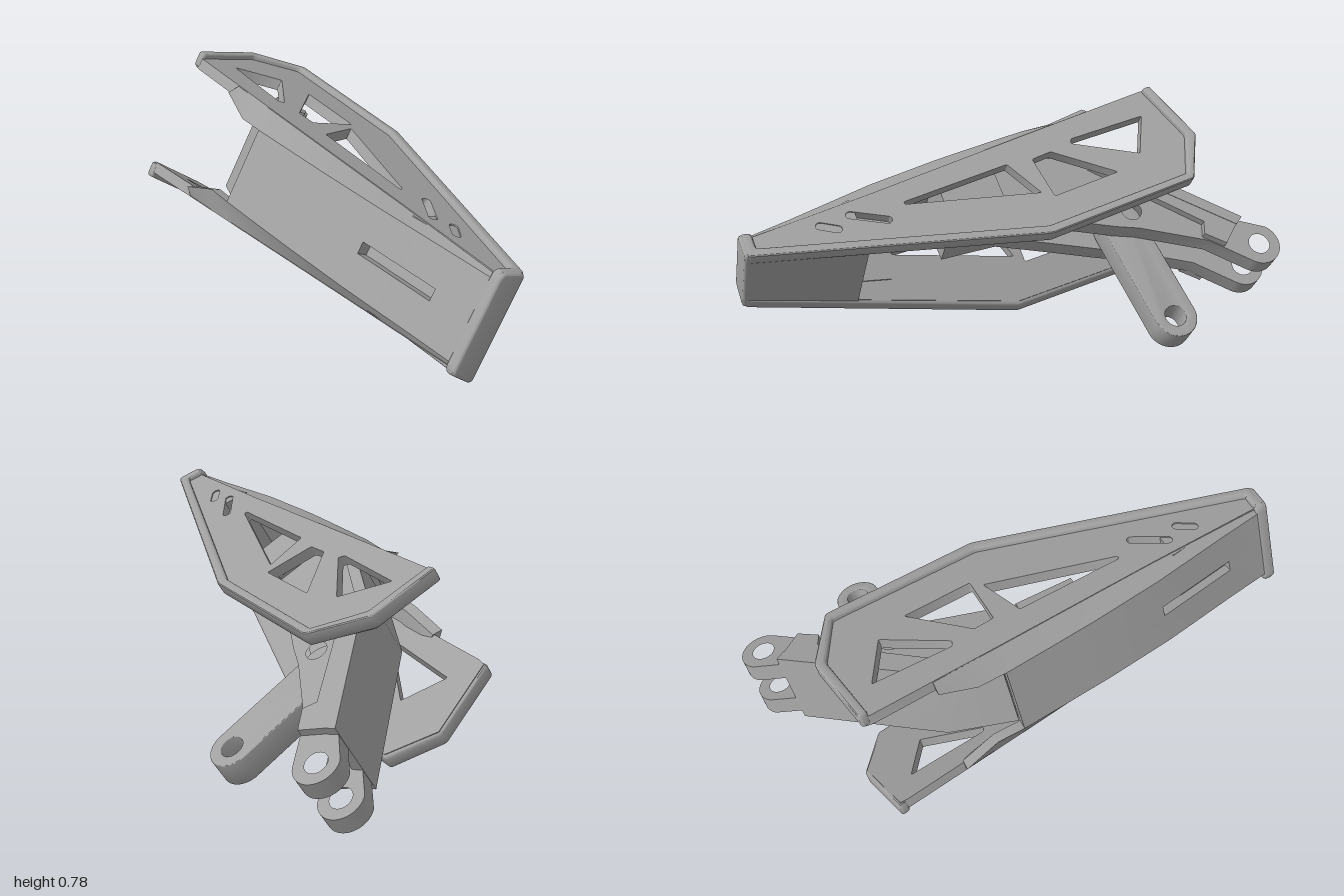
import * as THREE from 'three';
import { toCreasedNormals } from 'three/addons/utils/BufferGeometryUtils.js';

const CENTRE = 0.298; // height of the mirror plane in the tilted frame

// Local frame: x = depth of the shell, y = width (mirrored), z = length.
// Make a closed geometry face outwards and crease its normals.
function finish(geo) {
  const g = geo.index ? geo.toNonIndexed() : geo;
  const p = g.attributes.position;
  const A = new THREE.Vector3(), B = new THREE.Vector3(), C = new THREE.Vector3();
  let volume = 0;
  for (let i = 0; i < p.count; i += 3) {
    A.fromBufferAttribute(p, i); B.fromBufferAttribute(p, i + 1); C.fromBufferAttribute(p, i + 2);
    volume += A.dot(B.cross(C));
  }
  if (volume < 0) {
    for (let i = 0; i < p.count; i += 3) {
      B.fromBufferAttribute(p, i + 1); C.fromBufferAttribute(p, i + 2);
      p.setXYZ(i + 1, C.x, C.y, C.z); p.setXYZ(i + 2, B.x, B.y, B.z);
    }
  }
  g.deleteAttribute('normal');
  g.computeVertexNormals();
  return toCreasedNormals(g, 0.5);
}

// Solid through a row of rings with equal point counts
function loft(rings) {
  const n = rings[0].length, pos = [];
  const tri = (a, b, c) => pos.push(...a, ...b, ...c);
  for (let k = 0; k + 1 < rings.length; k++) {
    for (let i = 0; i < n; i++) {
      const j = (i + 1) % n, r = rings[k], s = rings[k + 1];
      tri(r[i], r[j], s[j]); tri(r[i], s[j], s[i]);
    }
  }
  const first = rings[0], last = rings[rings.length - 1];
  for (let i = 1; i + 1 < n; i++) {
    tri(first[0], first[i + 1], first[i]);
    tri(last[0], last[i], last[i + 1]);
  }
  const g = new THREE.BufferGeometry();
  g.setAttribute('position', new THREE.Float32BufferAttribute(pos, 3));
  return finish(g);
}

// Extrude a shape and send every (shape x, shape y, depth) through a rule
function extrudeBy(shape, depth, rule, bevel = 0) {
  const g = new THREE.ExtrudeGeometry(shape, {
    depth: depth - 2 * bevel, curveSegments: 20, bevelEnabled: bevel > 0, bevelSegments: 3,
    bevelSize: bevel, bevelOffset: -bevel, bevelThickness: bevel,
  });
  const p = g.attributes.position;
  for (let i = 0; i < p.count; i++) p.setXYZ(i, ...rule(p.getX(i), p.getY(i), p.getZ(i) + bevel));
  return finish(g);
}

const polygon = (pts) => new THREE.Shape(pts.map(([x, y]) => new THREE.Vector2(x, y)));
const circle = (x, y, r) => new THREE.Path().absarc(x, y, r, 0, Math.PI * 2, true);

// Polygon with rounded corners
function rounded(pts, r) {
  const v = pts.map(([x, y]) => new THREE.Vector2(x, y)), n = v.length, s = new THREE.Shape();
  const toward = (a, b) => b.clone().sub(a).setLength(r).add(a);
  v.forEach((c, i) => {
    const p = toward(c, v[(i + n - 1) % n]), q = toward(c, v[(i + 1) % n]);
    if (i === 0) s.moveTo(p.x, p.y); else s.lineTo(p.x, p.y);
    s.quadraticCurveTo(c.x, c.y, q.x, q.y);
  });
  s.closePath();
  return s;
}

// Rounded bar between two points
function capsule(x1, y1, r1, x2, y2, r2) {
  const t = Math.atan2(y2 - y1, x2 - x1), q = Math.PI / 2;
  return new THREE.Shape().absarc(x2, y2, r2, t - q, t + q, false)
    .absarc(x1, y1, r1, t + q, t + 3 * q, false);
}

// Linear lookup in a list of [z, value], z descending
function lookup(table, z) {
  for (let i = 0; i + 1 < table.length; i++) {
    const [z0, v0] = table[i], [z1, v1] = table[i + 1];
    if (z >= z1 || i === table.length - 2) return v0 + (v1 - v0) * (z - z0) / (z1 - z0);
  }
}

const plateV = (a, z) => 0.2 + 0.0742 * (1 - z) + 0.187 * (a + 0.3); // splayed side plane
const edgeA = (z) => lookup([[1, -0.37], [0.5, -0.43], [-0.15, -0.52], [-0.66, -0.59]], z);
const spineA = (z) => lookup([[1, -0.38], [0.8, -0.42], [0.48, -0.49], [0.2, -0.535], [0, -0.56], [-0.17, -0.58], [-0.42, -0.59]], z);
const spineHalf = (z) => lookup([[1, 0.152], [-0.28, 0.147], [-0.42, 0.2]], z);

export function createModel() {
  const grey = new THREE.MeshStandardMaterial({ color: 0xa0a0a0 });
  grey.name = 'metal grey';
  const body = new THREE.Group();
  body.name = 'body';
  body.position.y = CENTRE;
  const add = (name, geo) => {
    const m = new THREE.Mesh(geo, grey);
    m.name = name;
    body.add(m);
  };

  // Side plates with cutouts, blind slots and a raised rim
  const plate = polygon([[-0.37, 0.98], [-0.29, 0.98], [-0.06, -0.05], [-0.125, -0.64], [-0.31, -0.75],
    [-0.585, -0.69], [-0.588, -0.66], [-0.52, -0.15], [-0.43, 0.5]]);
  const cutouts = [
    [[-0.469, -0.61], [-0.299, -0.52], [-0.425, -0.29], [-0.446, -0.3]],
    [[-0.411, -0.2], [-0.242, -0.4], [-0.21, -0.13], [-0.398, -0.12]],
    [[-0.404, -0.02], [-0.24, -0.09], [-0.345, 0.4], [-0.357, 0.4]],
  ];
  for (const c of cutouts) plate.holes.push(rounded(c, 0.008));
  for (const [x1, y1, x2, y2] of [[-0.298, 0.48, -0.36, 0.6], [-0.314, 0.66, -0.346, 0.715]]) {
    plate.holes.push(capsule(x1, y1, 0.016, x2, y2, 0.016));
  }
  const rim = rounded([[-0.39, 0.99], [-0.285, 0.99], [-0.046, -0.05], [-0.115, -0.65], [-0.312, -0.76], [-0.595, -0.7],
    [-0.588, -0.665], [-0.322, -0.72], [-0.148, -0.635], [-0.084, -0.05], [-0.314, 0.955], [-0.385, 0.955]], 0.012);
  const slotFloor = polygon([[-0.42, 0.43], [-0.25, 0.43], [-0.29, 0.74], [-0.38, 0.74]]);
  for (const [side, s] of [['left', 1], ['right', -1]]) {
    add(side + 'Plate', extrudeBy(plate, 0.043, (a, z, d) => [a, s * (plateV(a, z) - 0.02 - d), z]));
    add(side + 'SlotFloor', extrudeBy(slotFloor, 0.008, (a, z, d) => [a, s * (plateV(a, z) - 0.06 - d), z]));
    add(side + 'Rim', extrudeBy(rim, 0.06, (a, z, d) => [a, s * (plateV(a, z) - d), z], 0.01));
  }

  // Curved spine, made of strips so that the middle leaves a blind slot
  const columns = [
    (z) => [edgeA(z), -(plateV(edgeA(z), z) - 0.023)],
    (z) => [spineA(z), -spineHalf(z)],
    (z) => [spineA(z), -0.022],
    (z) => [spineA(z), 0.022],
    (z) => [spineA(z), spineHalf(z)],
    (z) => [edgeA(z), plateV(edgeA(z), z) - 0.023],
  ];
  const strip = (name, c, zs, from = 0, to = 0.04) => add(name, loft(zs.map((z) => {
    const [a0, v0] = columns[c](z), [a1, v1] = columns[c + 1](z);
    return [[a0 + from, v0, z], [a1 + from, v1, z], [a1 + to, v1 * 0.95, z], [a0 + to, v0 * 0.95, z]];
  })));
  const main = [0.98, 0.8, 0.64, 0.48, 0.34, 0.2, 0.1, 0, -0.17];
  const sides = [...main, -0.28, -0.42];
  strip('spineEdge', 0, sides);
  strip('spinePanel', 1, main);
  strip('spineBridgeFront', 2, [0.98, 0.8]);
  strip('spineBridgeRear', 2, main.slice(3));
  strip('spinePanel', 3, main);
  strip('spineEdge', 4, sides);
  for (const c of [1, 2, 3]) strip('spineLining', c, [0.6, 0.48, 0.34, 0.2], 0.04, 0.06);

  // Solid tip closing the shell, with a rounded lip
  const tipRing = (z) => {
    const a0 = spineA(z) + 0.038, a1 = -0.29 + 0.22 * (1 - z);
    const v0 = plateV(a0, z) - 0.025, v1 = plateV(a1, z) - 0.025;
    return [[a0, -v0, z], [a1, -v1, z], [a1, v1, z], [a0, v0, z]];
  };
  add('tipBlock', loft([0.98, 0.8, 0.58].map(tipRing)));
  const lip = rounded([[-0.392, -0.183], [-0.284, -0.203], [-0.284, 0.203], [-0.392, 0.183]], 0.025);
  add('tipLip', extrudeBy(lip, 0.048, (a, v, d) => [a, v, 0.952 + d], 0.012));

  // Hub block with a bore facing out of the shell
  const hub = polygon([[-0.14, 0], [0.14, 0], [0.14, 0.23], [-0.14, 0.23]]);
  hub.holes.push(circle(0, 0.09, 0.05));
  add('hub', extrudeBy(hub, 0.26, (v, z, d) => [-0.26 - d, v, z]));

  // Twin cheeks ending in lugs
  const cheek = polygon([[-0.26, 0.02], [-0.165, -0.22], [-0.1, -0.38], [-0.07, -0.47], [0.05, -0.72], [0.177, -0.857]]);
  cheek.absarc(0.115, -0.915, 0.085, 0.75, 0.75 - Math.PI, true);
  for (const [x, y] of [[-0.02, -0.84], [-0.39, -0.43], [-0.49, -0.2], [-0.49, 0.02]]) cheek.lineTo(x, y);
  cheek.holes.push(circle(0.115, -0.915, 0.042), circle(-0.15, -0.47, 0.04));
  const flange = polygon([[0.09, -0.77], [0.005, -0.865], [-0.4, -0.42], [-0.36, -0.37], [-0.02, -0.72], [0.03, -0.7]]);
  for (const s of [1, -1]) {
    add('cheek', extrudeBy(cheek, 0.073, (a, z, d) => [a, s * (0.056 + d), z]));
    add('flange', extrudeBy(flange, 0.033, (a, z, d) => [a, s * (0.125 + d), z]));
  }

  // Back plate joining the cheeks
  const back = polygon([[0, -0.88], [-0.42, -0.42], [-0.52, -0.17], [-0.48, -0.16], [-0.39, -0.38], [0.025, -0.845]]);
  add('backPlate', extrudeBy(back, 0.32, (a, z, d) => [a, d - 0.16, z]));

  // Swinging middle arm
  const arm = capsule(-0.15, -0.45, 0.085, 0.281, -0.495, 0.085);
  arm.holes.push(circle(0.281, -0.495, 0.042));
  add('middleArm', extrudeBy(arm, 0.106, (a, z, d) => [a, d - 0.053, z], 0.005));

  const tilted = new THREE.Group();
  tilted.name = 'tiltedAssembly';
  tilted.rotation.z = -Math.PI / 6;
  tilted.add(body);
  const model = new THREE.Group();
  model.name = 'linkedShell';
  model.add(tilted);
  return model;
}
